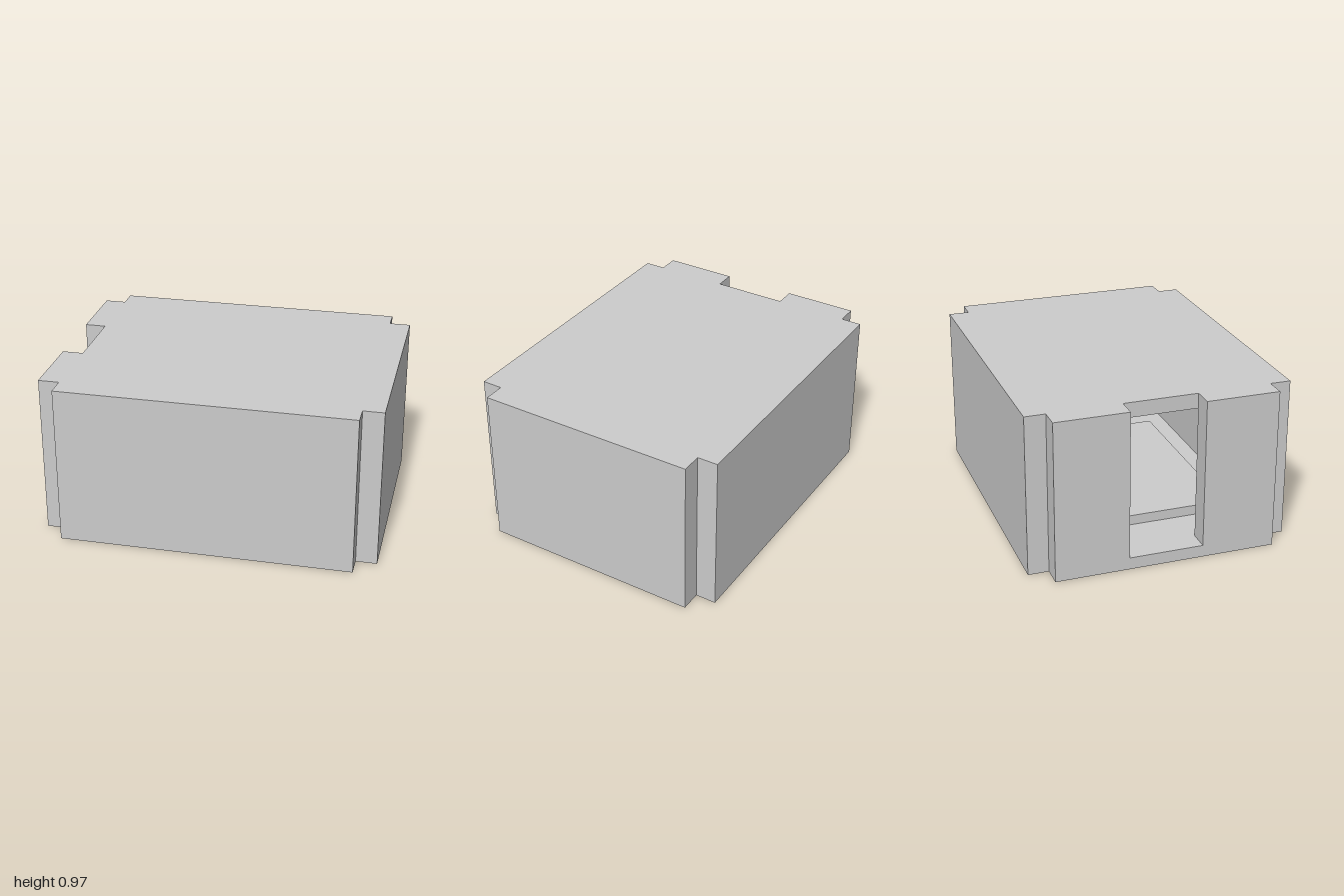
import * as THREE from 'three';

const H = 0.965, FLOOR = 0.072, ROOF = 0.09;   // total height, plate thicknesses
const XO = 1, XI = 0.875, ZO = 0.783, ZI = 0.66; // outer and inner half sizes
const DOOR = 0.222;                             // half width of the doorway

const material = new THREE.MeshStandardMaterial({ color: 0xcccccc, flatShading: true });

function addMesh(group, name, geometry) {
  const mesh = new THREE.Mesh(geometry, material);
  mesh.name = name;
  group.add(mesh);
}

function addBox(group, name, x0, x1, y0, y1, z0, z1) {
  const geometry = new THREE.BoxGeometry(x1 - x0, y1 - y0, z1 - z0);
  geometry.translate((x0 + x1) / 2, (y0 + y1) / 2, (z0 + z1) / 2);
  addMesh(group, name, geometry);
}

// Horizontal plate with cut-in corners and an optional doorway notch on -x
function plate(y, thickness, notched) {
  const points = [
    [XI, ZO], [-XI, ZO], [-XI, ZI], [-XO, ZI],
    ...(notched ? [[-XO, DOOR], [-XI, DOOR], [-XI, -DOOR], [-XO, -DOOR]] : []),
    [-XO, -ZI], [-XI, -ZI], [-XI, -ZO], [XI, -ZO],
    [XI, -ZI], [XO, -ZI], [XO, ZI], [XI, ZI],
  ];
  const shape = new THREE.Shape(points.map(([x, z]) => new THREE.Vector2(x, -z)));
  const geometry = new THREE.ExtrudeGeometry(shape, { depth: thickness, bevelEnabled: false });
  geometry.rotateX(-Math.PI / 2);
  geometry.translate(0, y, 0);
  return geometry;
}

export function createModel() {
  const model = new THREE.Group();
  model.name = 'hollowBox';
  const top = H - ROOF;

  addMesh(model, 'floorPlate', plate(0, FLOOR, false));
  addMesh(model, 'roofPlate', plate(top, ROOF, true));

  // Closed walls
  addBox(model, 'frontWall', -XI, XI, FLOOR, top, ZI, ZO);
  addBox(model, 'backWall', -XI, XI, FLOOR, top, -ZO, -ZI);
  addBox(model, 'leftWall', XI, XO, FLOOR, top, -ZI, ZI);

  // Right wall, split by the full-height doorway
  addBox(model, 'rightWallFront', -XO, -XI, FLOOR, top, DOOR, ZI);
  addBox(model, 'rightWallBack', -XO, -XI, FLOOR, top, -ZI, -DOOR);

  // Low platform standing on the floor inside
  addBox(model, 'innerPlatform', -0.63, 0.63, FLOOR, FLOOR + 0.06, -0.51, 0.51);

  return model;
}
